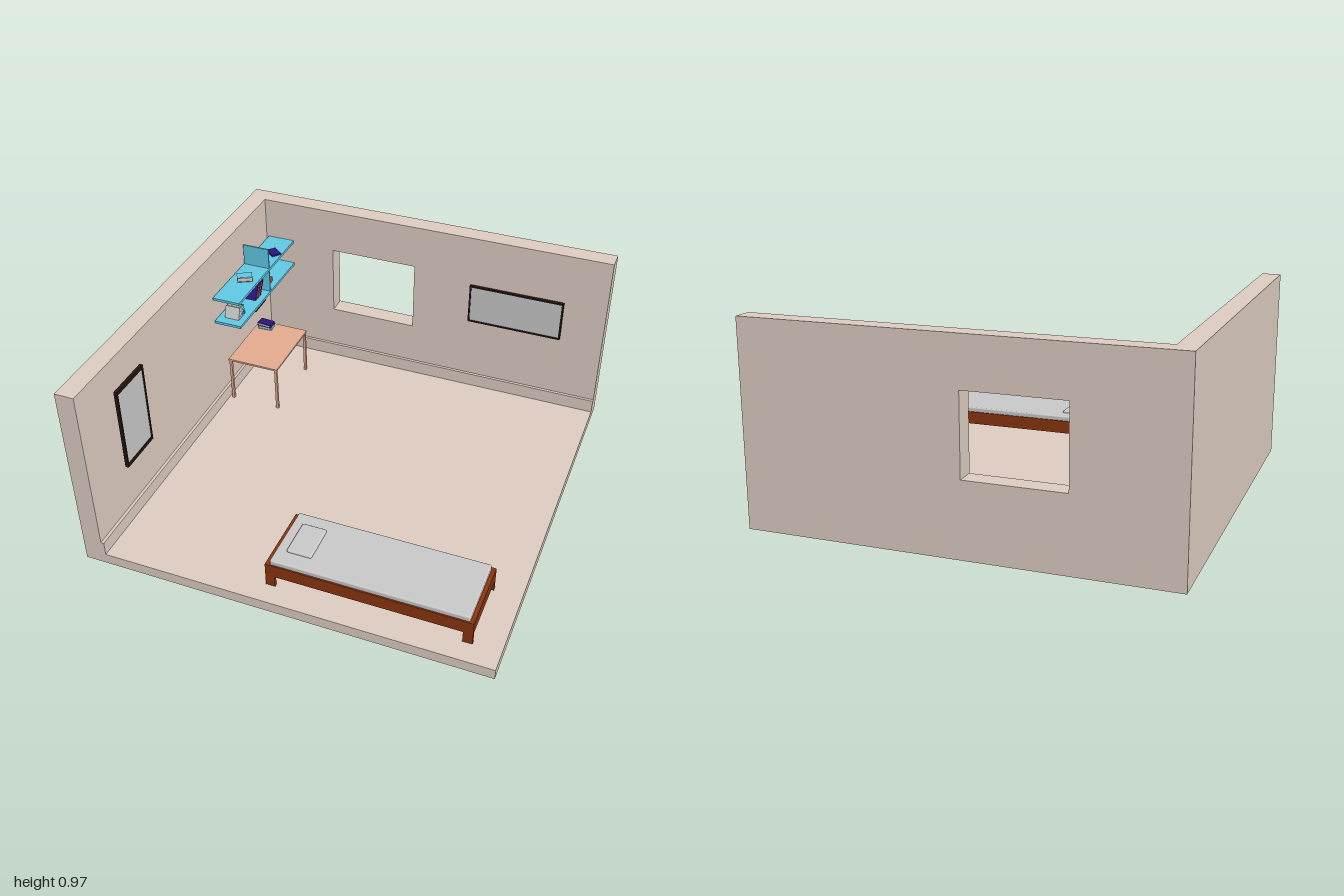
import * as THREE from 'three';
import { RoundedBoxGeometry } from 'three/addons/geometries/RoundedBoxGeometry.js';

const mat = (color) => new THREE.MeshStandardMaterial({ color });
const M = {
  wall: mat(0xe0cfc4), teal: mat(0x62cbe8), wood: mat(0x8a350e), table: mat(0xe8ad92),
  dark: mat(0x24160e), black: mat(0x101010), navy: mat(0x2a1480), orange: mat(0xb5562c), grey: mat(0xcccccc),
};

// Box given by its minimum and maximum on each axis
function box(parent, name, m, x0, x1, y0, y1, z0, z1) {
  const mesh = new THREE.Mesh(new THREE.BoxGeometry(x1 - x0, y1 - y0, z1 - z0), m);
  mesh.position.set((x0 + x1) / 2, (y0 + y1) / 2, (z0 + z1) / 2);
  mesh.name = name;
  parent.add(mesh);
  return mesh;
}

function group(parent, name) {
  const g = new THREE.Group();
  g.name = name;
  parent.add(g);
  return g;
}

// Book lying flat: two covers, a spine on +x and grey pages; origin at bottom centre
function book(parent, cover, w, h, d) {
  const g = group(parent, 'book');
  const t = Math.min(0.003, h / 4);
  box(g, 'lowerCover', cover, -w / 2, w / 2, 0, t, -d / 2, d / 2);
  box(g, 'upperCover', cover, -w / 2, w / 2, h - t, h, -d / 2, d / 2);
  box(g, 'spine', cover, w / 2 - t, w / 2, t, h - t, -d / 2, d / 2);
  box(g, 'pages', M.grey, -w / 2 + 0.002, w / 2 - t, t, h - t, -d / 2 + 0.002, d / 2 - 0.002);
  return g;
}

// Pile of flat books, listed from the bottom up as [cover, thickness, turn]
function pile(parent, x, y, z, w, d, list) {
  for (const [cover, h, turn] of list) {
    const b = book(parent, cover, w, h, d);
    b.position.set(x, y, z);
    b.rotation.y = turn;
    y += h;
  }
}

// Upright book leaning along z, spine towards +x; z is its lower centre
function leaning(parent, cover, x, y, z, thick, tall, deep, lean) {
  const pivot = group(parent, 'leaningBook');
  const b = book(pivot, cover, deep, thick, tall);
  b.rotation.x = Math.PI / 2;
  b.position.set(0, tall / 2, -thick / 2);
  pivot.position.set(x, y, z);
  pivot.rotation.x = lean;
}

function createRoom(root) {
  const g = group(root, 'room');
  box(g, 'floor', M.wall, -1, 1, 0, 0.055, -1, 1);
  box(g, 'sideWall', M.wall, -1, -0.905, 0.055, 0.97, -0.905, 1);

  // Back wall with window opening
  const s = new THREE.Shape();
  s.moveTo(-1, 0.055).lineTo(1, 0.055).lineTo(1, 0.97).lineTo(-1, 0.97).closePath();
  const hole = new THREE.Path();
  hole.moveTo(-0.51, 0.355).lineTo(-0.51, 0.735).lineTo(-0.04, 0.735).lineTo(-0.04, 0.355).closePath();
  s.holes.push(hole);
  const back = new THREE.Mesh(new THREE.ExtrudeGeometry(s, { depth: 0.095, bevelEnabled: false }), M.wall);
  back.position.z = -1;
  back.name = 'backWall';
  g.add(back);

  box(g, 'sideSkirting', M.wall, -0.905, -0.89, 0.055, 0.127, -0.905, 1);
  box(g, 'backSkirting', M.wall, -0.89, 1, 0.055, 0.127, -0.905, -0.89);
}

function createBed(root) {
  const g = group(root, 'bed');
  const [x0, x1, z0, z1] = [-0.112, 0.867, 0.548, 0.898];
  for (const x of [x0, x1 - 0.02]) box(g, 'endBoard', M.wood, x, x + 0.02, 0.115, 0.182, z0, z1);
  for (const z of [z0, z1 - 0.01]) box(g, 'sideRail', M.wood, x0 + 0.02, x1 - 0.02, 0.115, 0.182, z, z + 0.01);
  for (const x of [x0, x1 - 0.046])
    for (const z of [z0, z1 - 0.015]) box(g, 'leg', M.wood, x, x + 0.046, 0.055, 0.115, z, z + 0.015);

  const mattress = new THREE.Mesh(new RoundedBoxGeometry(0.937, 0.08, 0.336, 3, 0.008), M.grey);
  mattress.position.set(0.3775, 0.167, 0.723);
  mattress.name = 'mattress';
  const pillow = new THREE.Mesh(new RoundedBoxGeometry(0.122, 0.024, 0.19, 3, 0.009), M.grey);
  pillow.position.set(0.019, 0.207, 0.72);
  pillow.name = 'pillow';
  g.add(mattress, pillow);
}

function createTable(root) {
  const g = group(root, 'table');
  box(g, 'tableTop', M.table, -0.877, -0.593, 0.305, 0.315, -0.705, -0.303);
  for (const x of [-0.874, -0.61])
    for (const z of [-0.702, -0.32]) box(g, 'tableLeg', M.table, x, x + 0.014, 0.055, 0.305, z, z + 0.014);
  pile(g, -0.817, 0.315, -0.657, 0.08, 0.052, [[M.teal, 0.016, 0.05], [M.navy, 0.018, -0.08]]);
}

function createShelves(root) {
  const g = group(root, 'shelves');
  for (const y of [0.594, 0.734]) box(g, 'shelf', M.teal, -0.892, -0.744, y, y + 0.014, -0.905, -0.22);
  box(g, 'divider', M.teal, -0.89, -0.745, 0.608, 0.734, -0.594, -0.586);
  box(g, 'dividerTop', M.teal, -0.89, -0.745, 0.748, 0.862, -0.594, -0.586);
  box(g, 'bracket', M.black, -0.88, -0.76, 0.563, 0.594, -0.56, -0.435);

  // Upper shelf: a turned pile and a single book
  pile(g, -0.817, 0.748, -0.44, 0.08, 0.048, [[M.orange, 0.024, 0.5], [M.teal, 0.004, 0.5]]);
  pile(g, -0.79, 0.748, -0.745, 0.07, 0.052, [[M.navy, 0.009, -0.7]]);

  // Lower shelf: leaning rows and a small pile
  const y = 0.608;
  for (let i = 0; i < 5; i++)
    leaning(g, i % 2 ? M.orange : M.navy, -0.817, y, -0.472 - i * 0.014, 0.0115, 0.087 - (i % 2) * 0.006, 0.08, -0.5);
  for (let i = 0; i < 3; i++) leaning(g, i === 2 ? M.teal : M.grey, -0.817, y, -0.272 - i * 0.017, 0.015, 0.066, 0.08, -0.35);
  leaning(g, M.teal, -0.817, y, -0.34, 0.008, 0.062, 0.08, 0.2);
  pile(g, -0.817, y, -0.657, 0.08, 0.055, [[M.orange, 0.014, 0.05], [M.orange, 0.018, -0.1]]);
}

// Framed panel in the xy plane, facing +z
function createFrame(root, name, w, h, t, bx, by) {
  const g = group(root, name);
  box(g, 'panel', M.grey, -w / 2 + bx, w / 2 - bx, -h / 2 + by, h / 2 - by, -t / 2, t / 4);
  for (const s of [-1, 1]) {
    const px = s * (w - bx) / 2, py = s * (h - by) / 2;
    box(g, 'frameSide', M.dark, px - bx / 2, px + bx / 2, -h / 2, h / 2, -t / 2, t / 2);
    box(g, 'frameBar', M.dark, -w / 2 + bx, w / 2 - bx, py - by / 2, py + by / 2, -t / 2, t / 2);
  }
  return g;
}

export function createModel() {
  const root = new THREE.Group();
  root.name = 'bedroom';
  createRoom(root);
  createBed(root);
  createTable(root);
  createShelves(root);
  createFrame(root, 'wallPicture', 0.504, 0.222, 0.016, 0.009, 0.009).position.set(0.527, 0.584, -0.897);
  const mirror = createFrame(root, 'wallMirror', 0.232, 0.438, 0.017, 0.009, 0.018);
  mirror.position.set(-0.882, 0.604, 0.622);
  mirror.rotation.y = Math.PI / 2;
  return root;
}
